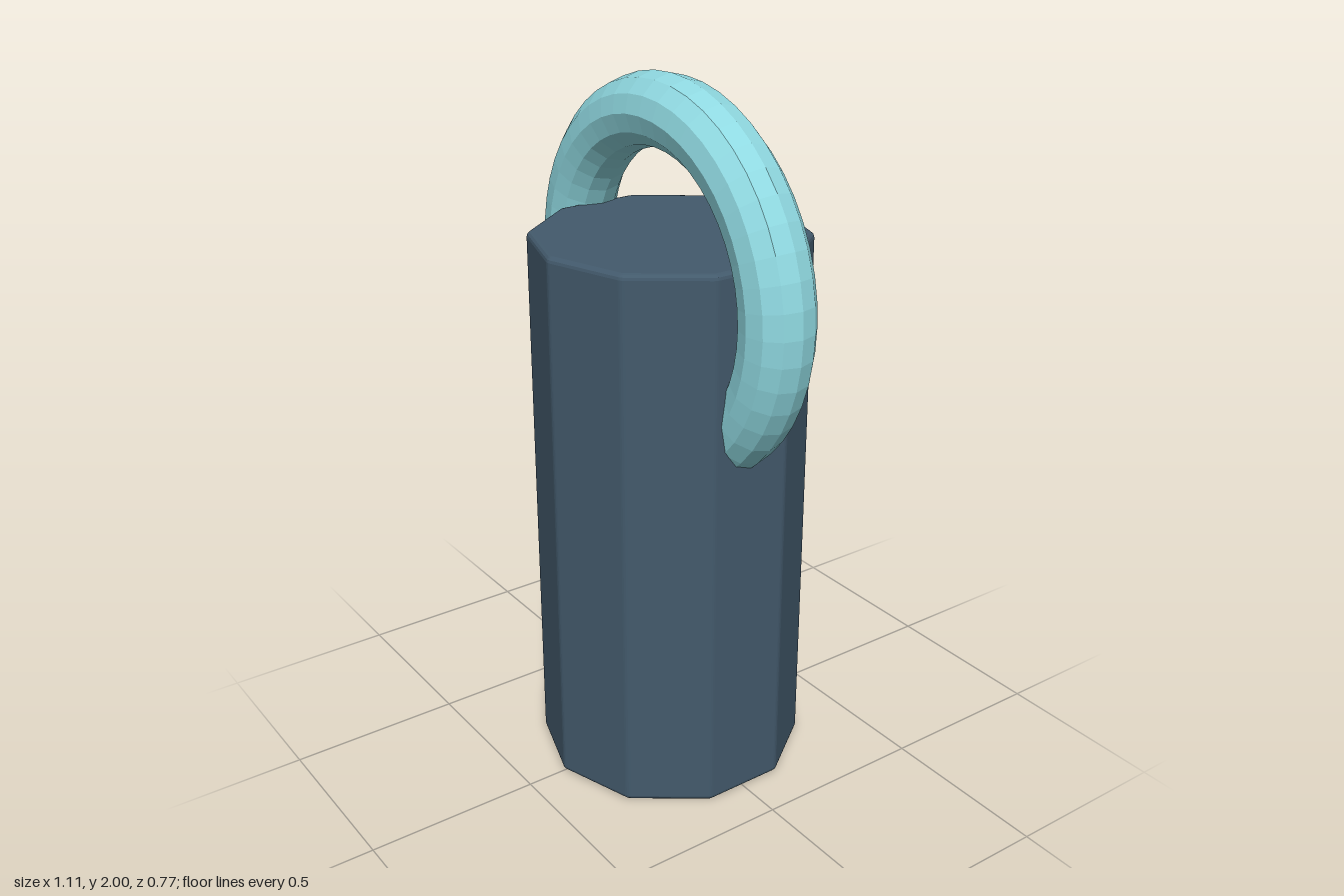
import * as THREE from 'three';

export function createModel() {
  const slate = new THREE.MeshStandardMaterial({ color: 0x435a6c, flatShading: true });
  slate.name = 'slate blue';
  const aqua = new THREE.MeshStandardMaterial({ color: 0x8fd8e0, flatShading: true });
  aqua.name = 'pale aqua';

  const model = new THREE.Group();
  model.name = 'ringedPost';

  // Ten-sided post with softly rounded corners and rims
  const sides = 10, height = 1.58, bevel = 0.015, cornerCentre = 0.353, cornerRadius = 0.015;
  const outline = [];
  for (let i = 0; i < sides; i++) {
    const mid = Math.PI / 2 + (i / sides) * Math.PI * 2;
    for (let k = -1.5; k <= 1.5; k++) {
      const a = mid + (k / 1.5) * (Math.PI / sides);
      outline.push(new THREE.Vector2(
        Math.cos(mid) * cornerCentre + Math.cos(a) * cornerRadius,
        Math.sin(mid) * cornerCentre + Math.sin(a) * cornerRadius));
    }
  }
  const postGeometry = new THREE.ExtrudeGeometry(new THREE.Shape(outline), {
    depth: height - 2 * bevel, bevelEnabled: true,
    bevelThickness: bevel, bevelSize: bevel, bevelSegments: 3,
  });
  postGeometry.translate(0, 0, bevel).rotateX(-Math.PI / 2);
  const post = new THREE.Mesh(postGeometry, slate);
  post.name = 'post';
  model.add(post);

  // Upright ring passing through the post
  const ring = new THREE.Mesh(new THREE.TorusGeometry(0.457, 0.1, 12, 48), aqua);
  ring.name = 'ring';
  ring.position.y = 1.443;
  model.add(ring);

  return model;
}
